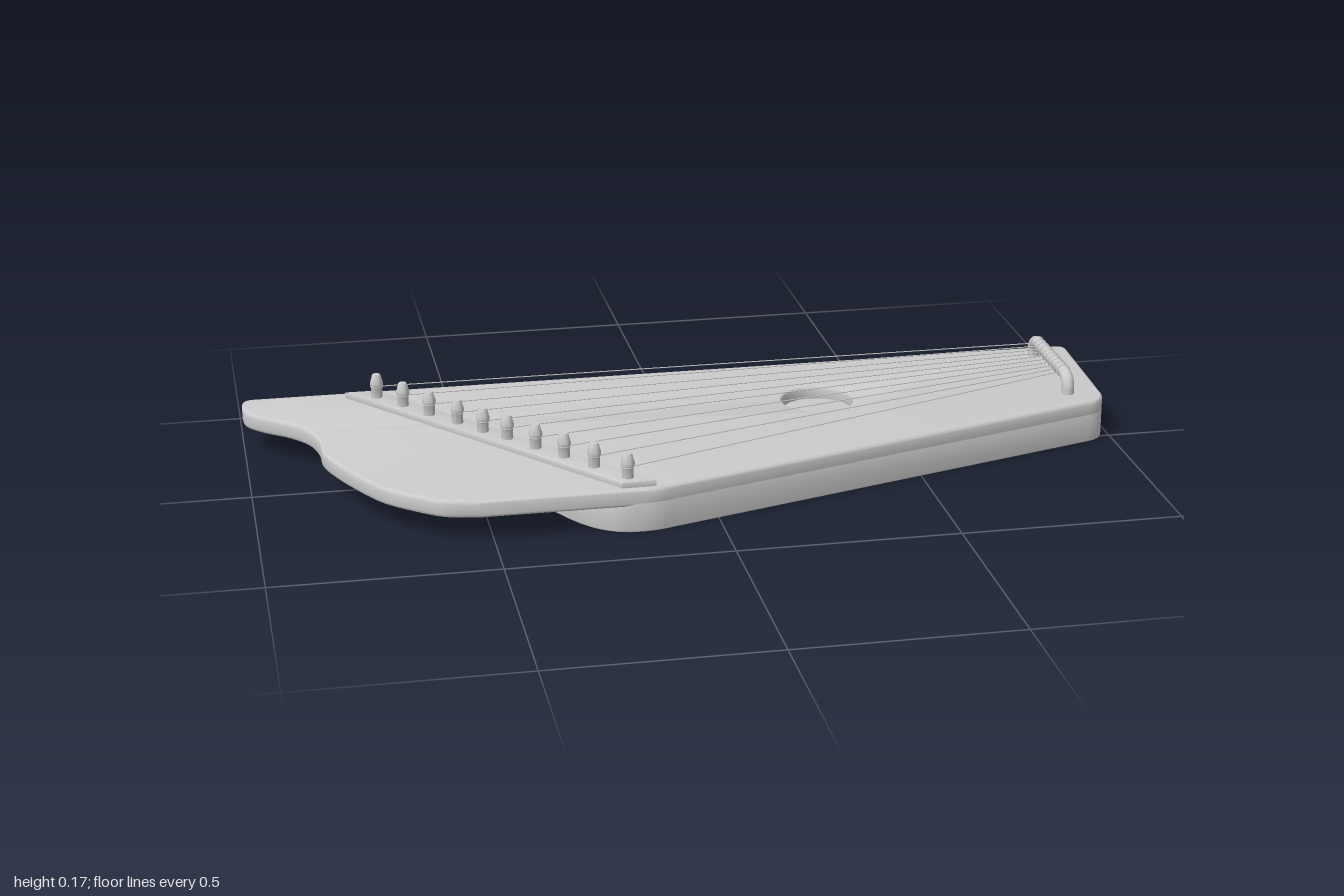
import * as THREE from 'three';
import { toCreasedNormals } from 'three/addons/utils/BufferGeometryUtils.js';

const material = new THREE.MeshStandardMaterial({ color: 0xcccccc });

function addMesh(parent, name, geometry) {
  const mesh = new THREE.Mesh(geometry, material);
  mesh.name = name;
  parent.add(mesh);
  return mesh;
}

// Flat slab between two heights; the outline is drawn in (x, -z)
function slab(shape, y0, y1, bevel) {
  const geo = new THREE.ExtrudeGeometry(shape, {
    depth: y1 - y0 - 2 * bevel, bevelEnabled: true, bevelThickness: bevel,
    bevelSize: bevel, bevelOffset: -bevel, bevelSegments: 3, curveSegments: 10,
  });
  geo.rotateX(-Math.PI / 2).translate(0, y0 + bevel, 0);
  return toCreasedNormals(geo, 0.6);
}

const flip = (pts) => pts.map(([x, z]) => new THREE.Vector2(x, -z));

// Shared edge: long front slant, rounded narrow end and straight back
function narrowEnd(shape) {
  shape.lineTo(-0.17, -0.36);
  shape.quadraticCurveTo(-0.14, -0.36, -0.11, -0.348);
  shape.lineTo(0.94, -0.03);
  shape.quadraticCurveTo(0.983, -0.017, 0.985, 0.03);
  shape.lineTo(0.998, 0.33);
  shape.quadraticCurveTo(1, 0.36, 0.97, 0.36);
}

function soundboardShape() {
  const s = new THREE.Shape();
  s.moveTo(-0.97, 0.36);
  s.quadraticCurveTo(-1, 0.36, -1, 0.33);
  s.splineThru(flip([
    [-0.995, -0.28], [-0.96, -0.235], [-0.9, -0.185], [-0.86, -0.13], [-0.842, -0.06],
    [-0.838, 0.01], [-0.81, 0.09], [-0.76, 0.19], [-0.72, 0.25], [-0.66, 0.305],
    [-0.605, 0.343], [-0.53, 0.36],
  ]));
  narrowEnd(s);
  s.closePath();
  s.holes.push(new THREE.Path().absarc(0.32, 0.11, 0.083, 0, Math.PI * 2, true));
  return s;
}

function bodyShape() {
  const s = new THREE.Shape();
  s.moveTo(-0.67, 0.36);
  s.lineTo(-0.33, -0.25);
  s.quadraticCurveTo(-0.27, -0.36, -0.19, -0.36);
  narrowEnd(s);
  s.closePath();
  return s;
}

// Thin straight rod between two points
function rod(a, b, radius) {
  return new THREE.TubeGeometry(new THREE.LineCurve3(a, b), 1, radius, 6);
}

export function createModel() {
  const model = new THREE.Group();
  model.name = 'zither';

  // Hollow body and overhanging soundboard
  addMesh(model, 'body', slab(bodyShape(), 0, 0.07, 0.003));
  addMesh(model, 'soundboard', slab(soundboardShape(), 0.06, 0.1, 0.007));

  // Slanted block carrying the tuning pins
  const block = new THREE.Shape(flip([[-0.76, -0.325], [-0.685, -0.325], [-0.145, 0.347], [-0.22, 0.347]]));
  addMesh(model, 'pinBlock', slab(block, 0.095, 0.114, 0.002));

  // Bent bar holding the far string ends
  const barX = 0.905, barY = 0.142;
  const v = (y, z) => new THREE.Vector3(barX, y, z);
  const path = new THREE.CurvePath();
  path.add(new THREE.LineCurve3(v(0.095, -0.034), v(0.112, -0.034)));
  path.add(new THREE.QuadraticBezierCurve3(v(0.112, -0.034), v(barY, -0.036), v(barY, -0.072)));
  path.add(new THREE.LineCurve3(v(barY, -0.072), v(barY, -0.272)));
  path.add(new THREE.QuadraticBezierCurve3(v(barY, -0.272), v(barY, -0.304), v(0.112, -0.306)));
  path.add(new THREE.LineCurve3(v(0.112, -0.306), v(0.095, -0.306)));
  addMesh(model, 'stringBar', new THREE.TubeGeometry(path, 60, 0.0145, 16));

  // Tuning pins, strings and their loops
  const pinProfile = [
    [0.013, 0.11], [0.013, 0.139], [0.0155, 0.144], [0.0155, 0.147],
    [0.0105, 0.166], [0.009, 0.169], [0, 0.169],
  ].map(([r, y]) => new THREE.Vector2(r, y));
  const pinGeo = toCreasedNormals(new THREE.LatheGeometry(pinProfile, 16), 0.6);
  const pins = [
    [-0.69, -0.283], [-0.636, -0.215], [-0.583, -0.145], [-0.526, -0.08], [-0.476, -0.016],
    [-0.428, 0.038], [-0.374, 0.107], [-0.32, 0.172], [-0.264, 0.242], [-0.203, 0.319],
  ];
  const stringY = 0.139, stringR = 0.0013;
  pins.forEach(([x, z], i) => {
    addMesh(model, 'tuningPin', pinGeo).position.set(x, 0, z);

    const endZ = -0.28 + i * 0.0228;
    addMesh(model, 'string', rod(
      new THREE.Vector3(x + 0.012, stringY, z),
      new THREE.Vector3(barX - 0.014, stringY, endZ), stringR));

    const pinLoop = addMesh(model, 'pinLoop', new THREE.TorusGeometry(0.0135, stringR, 6, 20));
    pinLoop.rotation.x = Math.PI / 2;
    pinLoop.position.set(x, stringY, z);

    const barLoop = addMesh(model, 'barLoop', new THREE.TorusGeometry(0.0152, stringR, 6, 20));
    barLoop.rotation.x = 0.2;
    barLoop.position.set(barX, barY, endZ);
  });

  return model;
}
